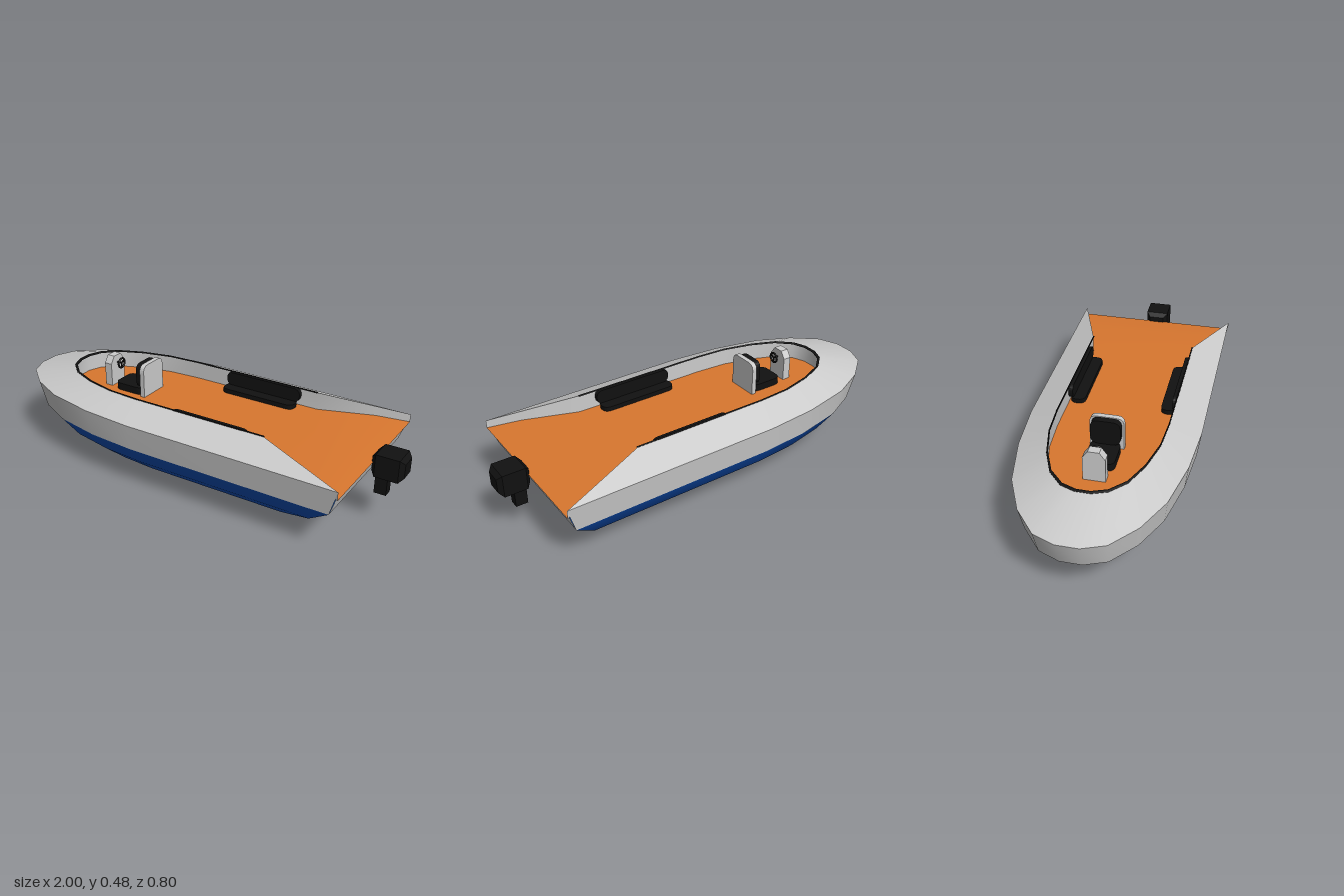
import * as THREE from 'three';

const mat = (color) => new THREE.MeshStandardMaterial({ color, side: THREE.DoubleSide });
const GREY = mat(0xcccccc), BLUE = mat(0x0d4fb5), ORANGE = mat(0xd9772f), BLACK = mat(0x111111);

// half outlines [x, z] from bow to stern: gunwale and cockpit edge
const OUTER = [[-1, 0.05], [-0.96, 0.15], [-0.84, 0.25], [-0.67, 0.33], [-0.43, 0.38], [-0.18, 0.4], [0.45, 0.4], [0.71, 0.4], [0.86, 0.4]];
const INNER = [[-0.755, 0.035], [-0.73, 0.1], [-0.66, 0.165], [-0.54, 0.215], [-0.39, 0.25], [-0.23, 0.26], [0.45, 0.26], [0.71, 0.349], [0.86, 0.4]];
const CX = -0.07; // point the hull layers shrink towards

// hull layers: [height, scale]
const TOPSIDE = [[0.338, 1], [0.21, 0.956]];
const BOTTOM = [[0.21, 0.956], [0.128, 0.842], [0.062, 0.664], [0.018, 0.44], [0, 0.18], [0, 0]];

// surface through equal rows of points
function skin(rows) {
  const n = rows[0].length, index = [];
  for (let i = 0; i < rows.length - 1; i++) {
    for (let j = 0; j < n - 1; j++) {
      const a = i * n + j, b = a + n;
      index.push(a, b, a + 1, b, b + 1, a + 1);
    }
  }
  const g = new THREE.BufferGeometry();
  g.setAttribute('position', new THREE.Float32BufferAttribute(rows.flat(2), 3));
  g.setIndex(index);
  g.computeVertexNormals();
  return g;
}

// U-shaped path: left stern, round the bow, right stern
const mirrored = (half, y) => {
  const pts = half.map(([x, z], i) => [x, y(x, i), z]);
  return [...pts.slice().reverse(), ...pts.map(([x, h, z]) => [x, h, -z])];
};
const layer = ([y, s]) => mirrored(OUTER.map(([x, z]) => [CX + (x - CX) * s, z * s]), () => y);
const transomRow = ([y, s]) => [-1, -0.5, 0, 0.5, 1].map((t) => [CX + 0.93 * s, y, t * 0.4 * s]);
const rimY = (x) => (x <= 0.45 ? 0.4 : 0.4 - (x - 0.45) * 0.151);
const floorY = (x) => (x > 0.8 ? 0.3 : 0.314);

// rounded slab, drawn in XY and centred, thickness along z
function slab(w, h, d, r, topOnly = false) {
  const s = new THREE.Shape(), x = w / 2, y = h / 2, b = topOnly ? 0.001 : r;
  s.moveTo(-x + b, -y);
  s.lineTo(x - b, -y);
  s.quadraticCurveTo(x, -y, x, -y + b);
  s.lineTo(x, y - r);
  s.quadraticCurveTo(x, y, x - r, y);
  s.lineTo(-x + r, y);
  s.quadraticCurveTo(-x, y, -x, y - r);
  s.lineTo(-x, -y + b);
  s.quadraticCurveTo(-x, -y, -x + b, -y);
  return new THREE.ExtrudeGeometry(s, { depth: d, bevelEnabled: false, curveSegments: 5 }).translate(0, 0, -d / 2);
}

// box whose two x ends taper in
function softBlock(w, h, d, inset) {
  const g = new THREE.BoxGeometry(w, h, d, 3, 1, 1).toNonIndexed(), p = g.attributes.position;
  for (let i = 0; i < p.count; i++) {
    const end = Math.abs(p.getX(i)) > w * 0.4;
    if (end) {
      p.setY(i, p.getY(i) - Math.sign(p.getY(i)) * inset);
      p.setZ(i, p.getZ(i) - Math.sign(p.getZ(i)) * inset);
    } else p.setX(i, Math.sign(p.getX(i)) * (w / 2 - inset));
  }
  g.computeVertexNormals();
  return g;
}

export function createModel() {
  const boat = new THREE.Group();
  boat.name = 'motorBoat';
  const add = (name, geo, material, x = 0, y = 0, z = 0, parent = boat) => {
    const m = new THREE.Mesh(geo, material);
    m.name = name;
    m.position.set(x, y, z);
    parent.add(m);
    return m;
  };

  // hull
  add('hullSides', skin(TOPSIDE.map(layer)), GREY);
  add('hullBottom', skin(BOTTOM.map(layer)), BLUE);
  add('transom', skin([[0.3, 0.99], [0.21, 0.956]].map(transomRow)), GREY);
  add('transomBottom', skin(BOTTOM.map(transomRow)), BLUE);

  // side decks, cockpit walls and floor
  const rim = mirrored(INNER, rimY), foot = mirrored(INNER, floorY);
  add('deck', skin([layer(TOPSIDE[0]), rim]), GREY);
  add('cockpitWall', skin([rim, foot]), GREY);
  const n = INNER.length;
  add('floor', skin([foot.slice(0, n).reverse(), foot.slice(n)]), ORANGE);

  // thin trim lying along the cockpit edge
  const edge = INNER.slice(0, 7);
  const inset = edge.map(([x, z]) => [x < 0 ? x + 0.014 * Math.min(1, -x * 1.2) : x, z - 0.005]);
  add('edgeTrim', skin([mirrored(edge, () => 0.398), mirrored(edge, () => 0.404),
    mirrored(inset, () => 0.404), mirrored(inset, () => 0.398)]), BLACK);

  // benches on both sides
  for (const side of [1, -1]) {
    const bench = new THREE.Group();
    bench.name = side > 0 ? 'leftBench' : 'rightBench';
    boat.add(bench);
    add('benchSeat', slab(0.39, 0.072, 0.022, 0.035).rotateX(Math.PI / 2), BLACK, 0.16, 0.325, side * 0.219, bench);
    add('benchBack', slab(0.4, 0.068, 0.022, 0.032), BLACK, 0.165, 0.368, side * 0.25, bench);
  }

  // helm seat
  const seat = new THREE.Group();
  seat.name = 'helmSeat';
  boat.add(seat);
  add('seatCushion', slab(0.16, 0.135, 0.036, 0.035).rotateX(Math.PI / 2), BLACK, -0.422, 0.332, 0, seat);
  add('seatBack', slab(0.155, 0.163, 0.024, 0.035, true).rotateY(Math.PI / 2), GREY, -0.327, 0.395, 0, seat);
  add('backPad', slab(0.135, 0.12, 0.03, 0.035).rotateY(Math.PI / 2), BLACK, -0.354, 0.413, 0, seat);

  // helm console with steering wheel
  const helm = new THREE.Group();
  helm.name = 'helm';
  boat.add(helm);
  const c = new THREE.Shape([[-0.05, 0], [0.05, 0], [0.05, 0.115], [0.025, 0.15], [-0.025, 0.15], [-0.05, 0.115]]
    .map(([x, y]) => new THREE.Vector2(x, y)));
  add('console', new THREE.ExtrudeGeometry(c, { depth: 0.04, bevelEnabled: false }).rotateY(Math.PI / 2),
    GREY, -0.575, 0.314, 0, helm);
  add('steeringColumn', new THREE.CylinderGeometry(0.005, 0.005, 0.03, 8).rotateZ(Math.PI / 2), BLACK, -0.522, 0.425, 0, helm);
  const wheel = add('steeringWheel', new THREE.TorusGeometry(0.024, 0.005, 8, 20).rotateY(Math.PI / 2), BLACK, -0.51, 0.425, 0, helm);
  for (let i = 0; i < 3; i++) {
    const spoke = add('spoke', new THREE.BoxGeometry(0.005, 0.024, 0.006).translate(0, 0.012, 0), BLACK, 0, 0, 0, wheel);
    spoke.rotation.x = Math.PI + i * Math.PI * 2 / 3;
  }

  // outboard motor
  const motor = new THREE.Group();
  motor.name = 'outboardMotor';
  boat.add(motor);
  add('motorHousing', softBlock(0.147, 0.107, 0.113, 0.02), BLACK, 0.9265, 0.293, 0, motor);
  add('motorLeg', new THREE.BoxGeometry(0.056, 0.12, 0.046), BLACK, 0.897, 0.203, 0, motor);

  return boat;
}
